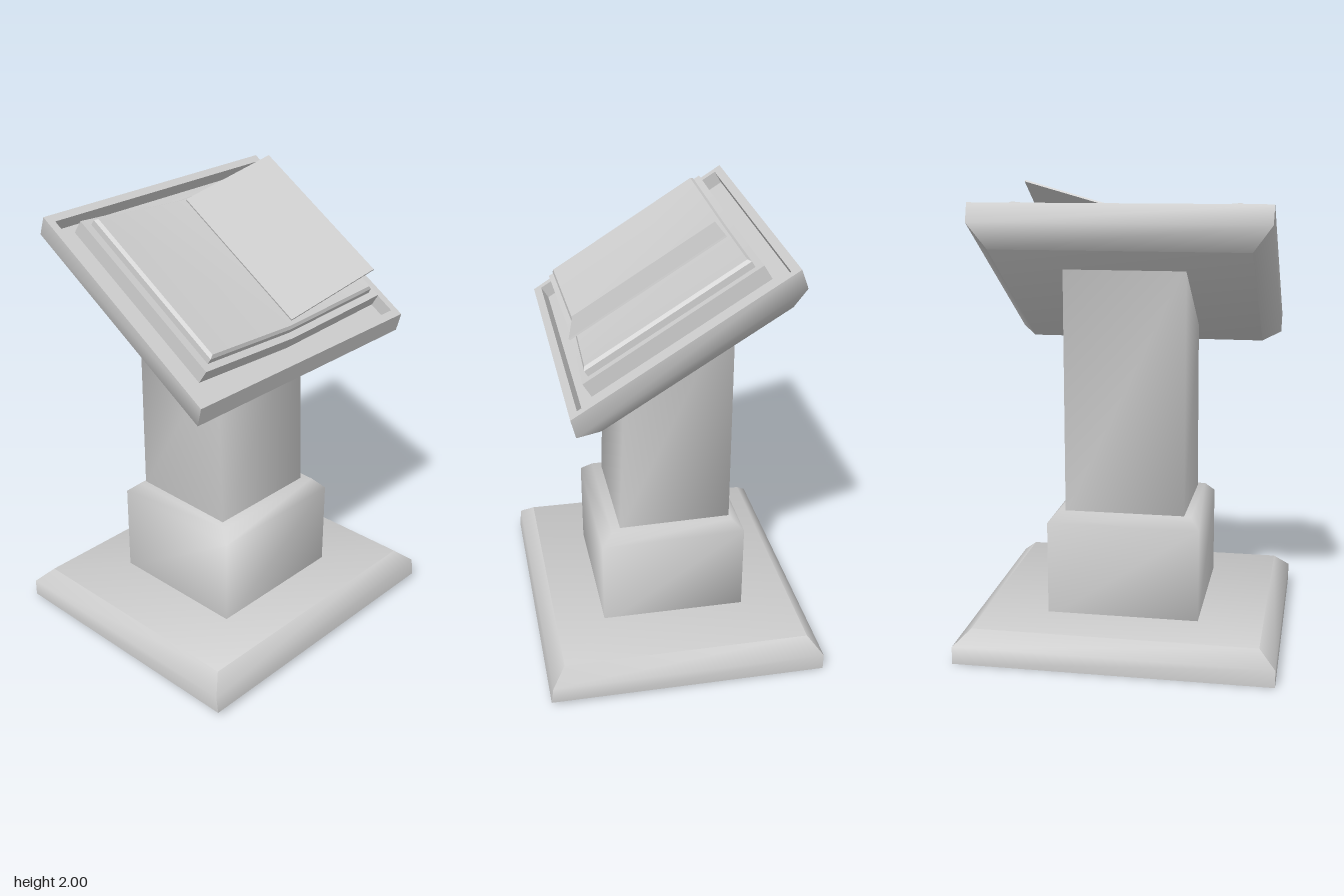
import * as THREE from 'three';
import { toCreasedNormals } from 'three/addons/utils/BufferGeometryUtils.js';

const material = new THREE.MeshStandardMaterial({ color: 0xcccccc });

// Rectangular cross-section; y may differ left and right, and dip lowers the middle line (z = 0).
function ring(x0, y0, x1, y1, z, dip = 0) {
  const front = [[x0, y0, z], [x1, y1, z]];
  const back = [[x1, y1, -z], [x0, y0, -z]];
  return dip
    ? [...front, [x1, y1 - dip, 0], ...back, [x0, y0 - dip, 0]]
    : [...front, ...back];
}

// Skin a stack of rings, with optional end caps, keeping edges sharper than crease.
function loft(name, rings, crease, capBottom = true, capTop = true) {
  const n = rings[0].length;
  const index = [];
  const quad = (a, b, c, d) => index.push(a, b, c, a, c, d);
  for (let r = 0; r < rings.length - 1; r++) {
    for (let i = 0; i < n; i++) {
      const j = (i + 1) % n;
      quad(r * n + i, r * n + j, (r + 1) * n + j, (r + 1) * n + i);
    }
  }
  const last = (rings.length - 1) * n;
  for (let k = 0; k < n / 2 - 1; k++) {
    const q = [(n - k) % n, k + 1, k + 2, n - k - 1];
    if (capTop) quad(...q.map((v) => last + v));
    if (capBottom) quad(...q.reverse());
  }
  const geometry = new THREE.BufferGeometry();
  geometry.setAttribute('position', new THREE.Float32BufferAttribute(rings.flat(2), 3));
  geometry.setIndex(index);
  const mesh = new THREE.Mesh(toCreasedNormals(geometry, crease), material);
  mesh.name = name;
  return mesh;
}

export function createModel() {
  const model = new THREE.Group();
  model.name = 'lectern';

  // Slightly tilted foot slab with a bevelled top
  model.add(loft('base', [
    ring(-0.61, 0, 0.61, 0.025, 0.68),
    ring(-0.61, 0.075, 0.6, 0.1, 0.68),
    ring(-0.55, 0.14, 0.54, 0.16, 0.61),
  ], 1.0));

  // Plinth and tapering column, softly shaded around their corners
  model.add(loft('plinth', [
    ring(-0.32, 0.12, 0.32, 0.12, 0.33),
    ring(-0.32, 0.55, 0.32, 0.55, 0.33),
    ring(-0.27, 0.595, 0.27, 0.595, 0.29),
  ], 1.65, false));
  model.add(loft('column', [
    ring(-0.265, 0.58, 0.23, 0.58, 0.26),
    ring(-0.265, 1.67, 0.198, 1.39, 0.26),
  ], 1.65, false, false));

  // Sloping desk: everything on it is built flat, then tilted
  const desk = new THREE.Group();
  desk.name = 'desk';
  desk.position.set(0.03, 1.65, 0);
  desk.rotation.z = THREE.MathUtils.degToRad(-31.5);
  model.add(desk);

  // Tray with chamfered underside, raised rim and sunken floor
  desk.add(loft('tray', [
    ring(-0.42, -0.162, 0.463, -0.162, 0.54),
    ring(-0.5, -0.083, 0.541, -0.08, 0.62),
    ring(-0.516, 0, 0.516, 0, 0.622),
    ring(-0.48, 0, 0.48, 0, 0.588),
    ring(-0.48, -0.06, 0.48, -0.06, 0.588),
  ], 0.9));

  // Open book: cover and page block share a shallow V along the spine
  const dip = 0.047;
  desk.add(loft('bookCover', [
    ring(-0.41, -0.012, 0.41, -0.012, 0.535, dip),
    ring(-0.41, 0.052, 0.41, 0.052, 0.53, dip),
  ], 0.6));
  desk.add(loft('pages', [
    ring(-0.38, 0.045, 0.38, 0.045, 0.495, dip),
    ring(-0.38, 0.075, 0.38, 0.075, 0.492, dip),
    ring(-0.37, 0.087, 0.37, 0.087, 0.48, dip),
  ], 0.6));

  // One leaf lifting from the spine
  const hinge = new THREE.Group();
  hinge.name = 'liftedLeaf';
  hinge.position.set(0.004, 0.062, 0);
  hinge.rotation.x = Math.atan2(0.135, 0.44);
  const leaf = new THREE.Mesh(new THREE.BoxGeometry(0.71, 0.008, 0.46), material);
  leaf.name = 'leaf';
  leaf.position.z = -0.23;
  hinge.add(leaf);
  desk.add(hinge);

  return model;
}
